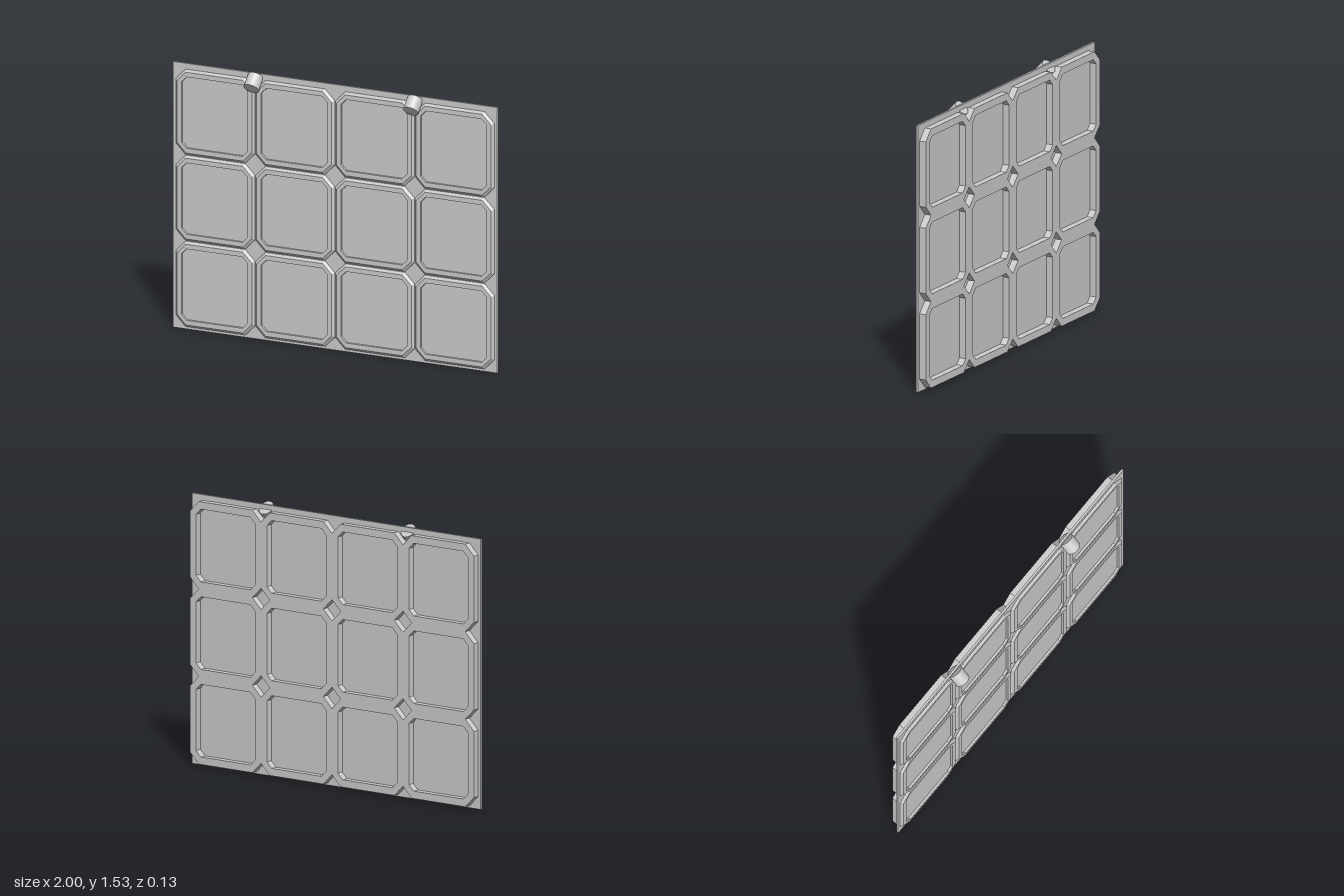
import * as THREE from 'three';

const PITCH = 0.492, COLS = 4, ROWS = 3, BASE = 0.012;

// Corners of a square with cut corners, counter-clockwise seen from +z
function octagon(h, c, z) {
  const i = h - c;
  return [[i, -h], [h, -i], [h, i], [i, h], [-i, h], [-h, i], [-h, -i], [-i, -h]].map(([x, y]) => [x, y, z]);
}

// Skin through successive octagons given as [halfWidth, cornerCut, z]
function octagonRing(sections) {
  const loops = sections.map((s) => octagon(...s));
  const pos = [];
  for (let i = 0; i < loops.length - 1; i++) {
    for (let k = 0; k < 8; k++) {
      const n = (k + 1) % 8;
      const a = loops[i][k], b = loops[i][n], c = loops[i + 1][n], d = loops[i + 1][k];
      pos.push(...a, ...b, ...c, ...a, ...c, ...d);
    }
  }
  const geo = new THREE.BufferGeometry();
  geo.setAttribute('position', new THREE.Float32BufferAttribute(pos, 3));
  geo.computeVertexNormals();
  return geo;
}

export function createModel() {
  const group = new THREE.Group();
  const mat = new THREE.MeshStandardMaterial({ color: 0xcccccc });
  const flat = new THREE.MeshStandardMaterial({ color: 0xcccccc, flatShading: true });
  const add = (name, geo, m, x, y, z) => {
    const mesh = new THREE.Mesh(geo, m);
    mesh.name = name;
    mesh.position.set(x, y, z);
    group.add(mesh);
    return mesh;
  };

  // Thin sheet carrying everything
  add('panel', new THREE.BoxGeometry(2, 1.52, 0.013), flat, 0, 0.76, -0.0205);

  // Bevelled frames on the front, deeper straight frames on the back
  const front = octagonRing([
    [0.245, 0.06, -0.015], [0.243, 0.06, -0.01], [0.231, 0.055, 0], [0.204, 0.032, 0], [0.204, 0.032, -0.015],
  ]);
  const back = octagonRing([
    [0.204, 0.032, -0.026], [0.204, 0.032, -0.066], [0.246, 0.06, -0.066], [0.246, 0.06, -0.026],
  ]);
  for (let r = 0; r < ROWS; r++) {
    for (let c = 0; c < COLS; c++) {
      const x = (c - (COLS - 1) / 2) * PITCH;
      const y = BASE + (r + 0.5) * PITCH;
      add('frontFrame', front, flat, x, y, 0);
      add('backFrame', back, flat, x, y, 0);
    }
  }

  // Tilted pegs through the top edge
  const peg = new THREE.CylinderGeometry(0.044, 0.044, 0.08, 40);
  for (const side of [-1, 1]) {
    add(side > 0 ? 'leftPeg' : 'rightPeg', peg, mat, side * PITCH, 1.473, 0.009).rotation.x = -Math.PI / 4;
  }
  return group;
}
